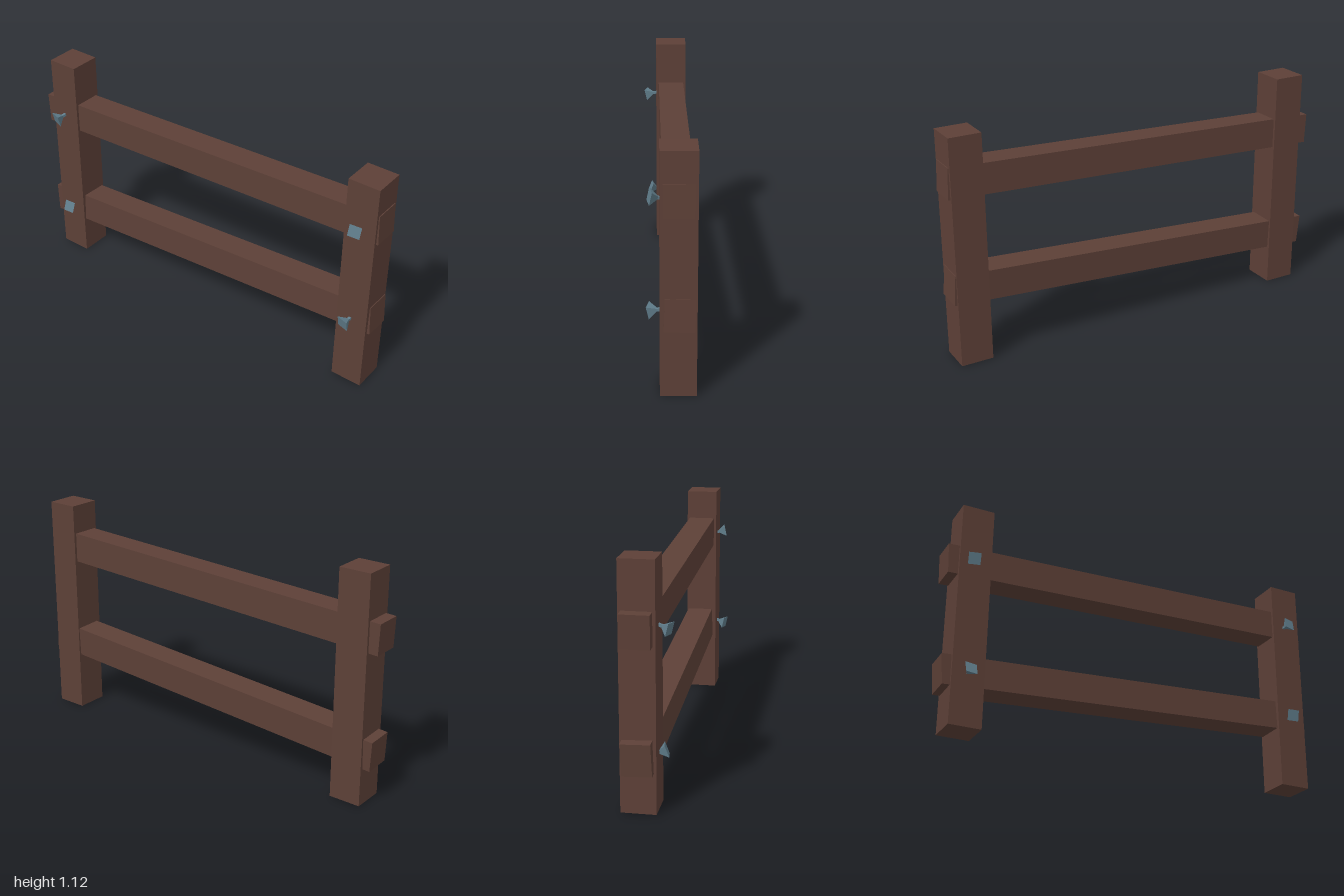
import * as THREE from 'three';

const wood = new THREE.MeshStandardMaterial({ color: 0x5d4037, flatShading: true });
const metal = new THREE.MeshStandardMaterial({ color: 0x607d8b, flatShading: true });

function beam(name, size, position, rotation = [0, 0, 0]) {
  const mesh = new THREE.Mesh(new THREE.BoxGeometry(...size), wood);
  mesh.name = name;
  mesh.position.set(...position);
  mesh.rotation.set(...rotation);
  return mesh;
}

// Square tapered part along +z, starting at z = start
function taper(name, outer, inner, length, start) {
  const geometry = new THREE.CylinderGeometry(outer * Math.SQRT1_2, inner * Math.SQRT1_2, length, 4);
  geometry.rotateY(Math.PI / 4).rotateX(Math.PI / 2).translate(0, 0, start + length / 2);
  const mesh = new THREE.Mesh(geometry, metal);
  mesh.name = name;
  return mesh;
}

// Nail whose head face is centred on the group's origin
function nail(name, position, pitch, yaw, roll) {
  const group = new THREE.Group();
  group.name = name;
  group.add(taper('nailHead', 0.058, 0.013, 0.036, -0.036));
  group.add(taper('nailShaft', 0.013, 0.013, 0.07, -0.106));
  group.position.set(...position);
  group.rotation.set(-pitch, yaw, roll);
  return group;
}

export function createModel() {
  const model = new THREE.Group();
  model.name = 'fence';

  // Upright posts
  model.add(beam('rightPost', [0.158, 1.124, 0.16], [-0.867, 0.562, -0.03]));
  model.add(beam('leftPost', [0.158, 1.124, 0.16], [0.9, 0.562, -0.03]));

  // Crooked rails running through the posts
  model.add(beam('upperRail', [1.985, 0.15, 0.134], [-0.005, 0.868, -0.03], [0, 0, 0.041]));
  model.add(beam('lowerRail', [1.98, 0.15, 0.134], [0, 0.326, -0.033], [-0.035, 0, 0.066]));

  // Bent nails on the front of the posts
  model.add(nail('upperRightNail', [-0.89, 0.819, 0.1], 0.26 * -1, -0.3, 0.05));
  model.add(nail('upperLeftNail', [0.897, 0.898, 0.092], 0.2, 0.2, -0.05));
  model.add(nail('lowerRightNail', [-0.865, 0.273, 0.082], 0.36, 0.15, 0));
  model.add(nail('lowerLeftNail', [0.881, 0.367, 0.096], -0.22, -0.25, 0));

  return model;
}
